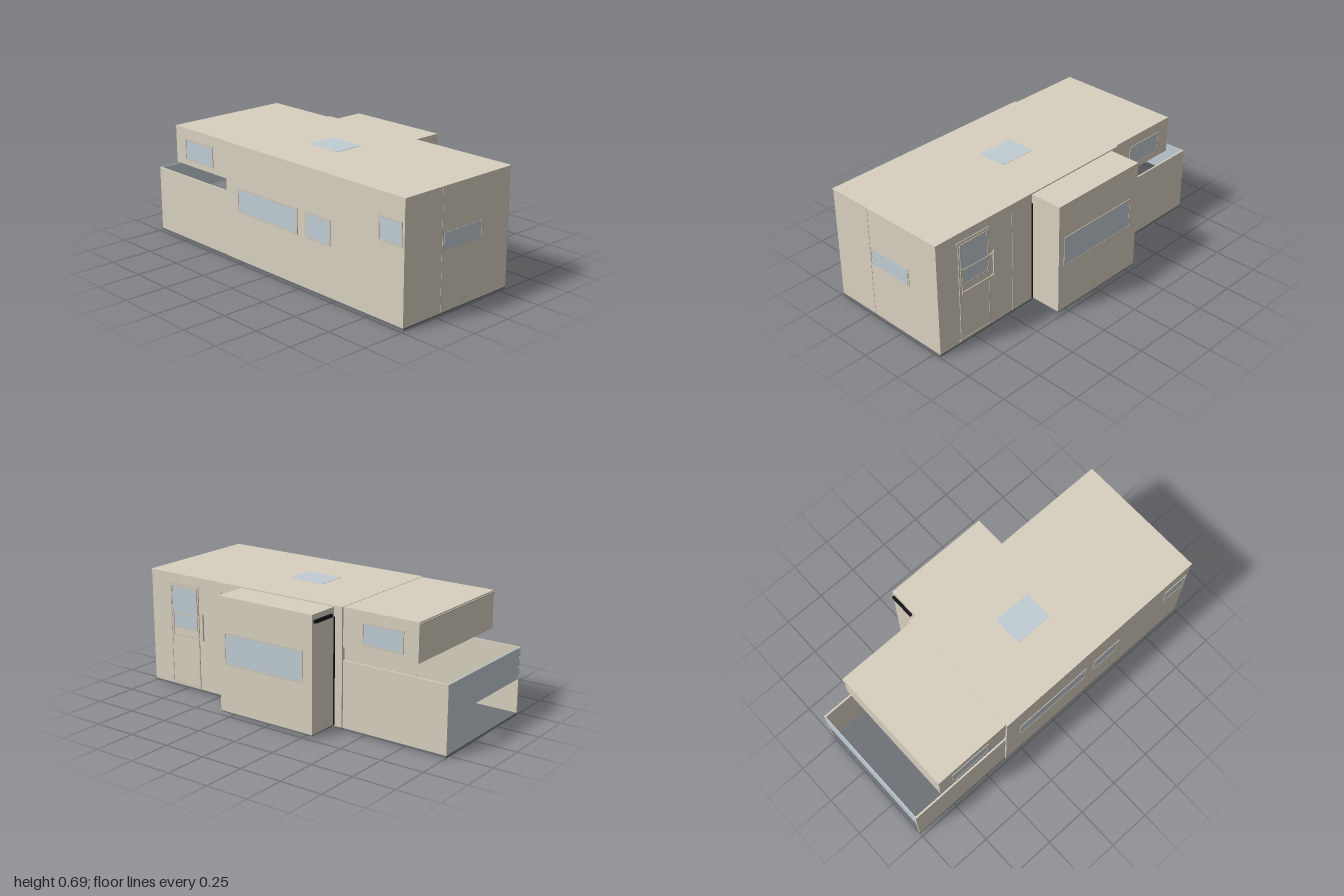
import * as THREE from 'three';

const mat = (color) => new THREE.MeshStandardMaterial({ color });

export function createModel() {
  const root = new THREE.Group();
  const wall = mat(0xd8d0c0), trim = mat(0xcac2b2), glass = mat(0xc0ccd4);
  const floor = mat(0x6e7278), black = mat(0x151515), brown = mat(0x3a2a20);

  // Box given by its limits on each axis
  const box = (name, material, [x0, x1], [y0, y1], [z0, z1], parent = root) => {
    const m = new THREE.Mesh(new THREE.BoxGeometry(x1 - x0, y1 - y0, z1 - z0), material);
    m.position.set((x0 + x1) / 2, (y0 + y1) / 2, (z0 + z1) / 2);
    m.name = name;
    parent.add(m);
    return m;
  };

  // Pane with four frame bars on a side wall; s is the outward x direction
  const sideWindow = (name, x, s, [y0, y1], [z0, z1], f = 0.007) => {
    const g = new THREE.Group();
    g.name = name;
    root.add(g);
    const span = (d) => (s > 0 ? [x - 0.002, x + d] : [x - d, x + 0.002]);
    box('pane', glass, span(0.002), [y0, y1], [z0, z1], g);
    for (const z of [z0 - f, z1]) box('frameUpright', trim, span(0.004), [y0 - f, y1 + f], [z, z + f], g);
    for (const y of [y0 - f, y1]) box('frameRail', trim, span(0.004), [y, y + f], [z0, z1], g);
  };

  const T = 0.01;
  const L = -0.487, R = 0.293, back = -0.355, front = 0.99;

  // Main body: floor, roof and walls, with an opening for the slide-out
  box('mainFloor', floor, [L, R], [0.004, 0.016], [back, 0.997]);
  box('mainRoof', wall, [L - 0.002, R + 0.002], [0.677, 0.685], [back - 0.005, 1]);
  box('frontWall', wall, [L, R], [0.016, 0.677], [front - T, 0.996]);
  box('rightWall', wall, [L, L + T], [0.016, 0.677], [back, front]);
  box('leftWallFront', wall, [R - T, R], [0.016, 0.677], [0.315, front]);
  box('leftWallRear', wall, [R - T, R], [0.016, 0.677], [back, -0.3]);
  box('slideHeader', wall, [R - T, R], [0.655, 0.677], [-0.3, 0.315]);
  for (const [a, b] of [[L, L + 0.022], [R - 0.022, R]])
    box('rearPost', wall, [a, b], [0.016, 0.677], [back - 0.004, back + 0.006]);

  // Skylight and front window
  box('skylight', glass, [-0.19, -0.015], [0.68, 0.6865], [-0.005, 0.22]);
  box('frontWindow', glass, [-0.205, 0.07], [0.347, 0.44], [front, 0.998]);
  for (const x of [-0.216, 0.076]) box('frontWindowUpright', trim, [x, x + 0.006], [0.34, 0.447], [front, 0.9985]);
  box('frontSeam', trim, [-0.219, -0.216], [0.016, 0.677], [front, 0.9975]);

  // Right side windows
  sideWindow('longWindow', L, -1, [0.307, 0.435], [-0.25, 0.225]);
  sideWindow('middleWindow', L, -1, [0.307, 0.435], [0.3, 0.475]);
  sideWindow('smallWindow', L, -1, [0.44, 0.555], [0.83, 0.975]);

  // Entrance door with window and grab bars
  box('door', wall, [R, R + 0.003], [0.035, 0.625], [0.645, 0.845]);
  for (const z of [0.638, 0.845]) box('doorFrameUpright', trim, [R, R + 0.005], [0.025, 0.632], [z, z + 0.007]);
  for (const y of [0.026, 0.624]) box('doorFrameRail', trim, [R, R + 0.005], [y, y + 0.008], [0.633, 0.862]);
  sideWindow('doorWindow', R + 0.003, 1, [0.375, 0.61], [0.655, 0.835]);
  for (const y of [0.32, 0.455]) box('doorBar', trim, [R, R + 0.009], [y, y + 0.007], [0.61, 0.835]);
  for (const z of [0.605, 0.828]) box('doorBarEnd', trim, [R, R + 0.009], [0.315, 0.475], [z, z + 0.007]);
  box('sideSeam', trim, [R, R + 0.003], [0.016, 0.63], [0.467, 0.471]);

  // Slide-out room, open toward the main body
  const S = 0.485, sz0 = -0.307, sz1 = 0.32;
  box('slideFloor', floor, [R - T, S], [0.016, 0.022], [sz0, sz1]);
  box('slideRoof', wall, [R - T, S], [0.67, 0.678], [sz0, sz1]);
  box('slideOuterWall', wall, [S - T, S], [0.022, 0.67], [sz0, sz1]);
  for (const z of [sz0, sz1 - T]) box('slideEndWall', wall, [R, S - T], [0.022, 0.67], [z, z + T]);
  for (const z of [sz0 - 0.006, sz1]) box('slideSeal', black, [R, R + 0.006], [0.022, 0.625], [z, z + 0.006]);
  sideWindow('slideWindow', S, 1, [0.305, 0.47], [-0.243, 0.275]);
  box('slideLamp', black, [0.325, 0.472], [0.632, 0.648], [-0.323, sz0]);

  // Rear deck: low side walls and a glazed rail across the open end
  const dl = -0.478, dr = 0.283;
  box('deckFloor', floor, [dl, dr], [0, 0.012], [-1, back]);
  for (const x of [dl, dr - T]) box('deckSide', wall, [x, x + T], [0.012, 0.392], [-1, back]);
  box('deckRearPanel', glass, [dl + T, dr - T], [0.21, 0.39], [-0.999, -0.993]);

  // Raised rear canopy, open below
  const cz = -0.822;
  box('canopyRoof', wall, [dl, dr], [0.673, 0.683], [cz, back]);
  box('canopyRear', wall, [dl, dr], [0.465, 0.673], [cz, cz + T]);
  box('canopyLip', trim, [dl, dr], [0.668, 0.676], [cz - 0.006, cz]);
  for (const x of [dl, dr - T]) box('canopySide', wall, [x, x + T], [0.465, 0.673], [cz + T, back]);
  sideWindow('canopyLeftWindow', dr, 1, [0.505, 0.615], [-0.727, -0.49]);
  sideWindow('canopyRightWindow', dl, -1, [0.505, 0.615], [-0.727, -0.49]);

  // Interior fittings
  box('overheadCabinet', black, [L + T, -0.34], [0.56, 0.676], [-0.34, -0.2]);
  box('ceilingPanel', brown, [-0.15, 0.15], [0.66, 0.676], [-0.33, -0.05]);

  return root;
}
